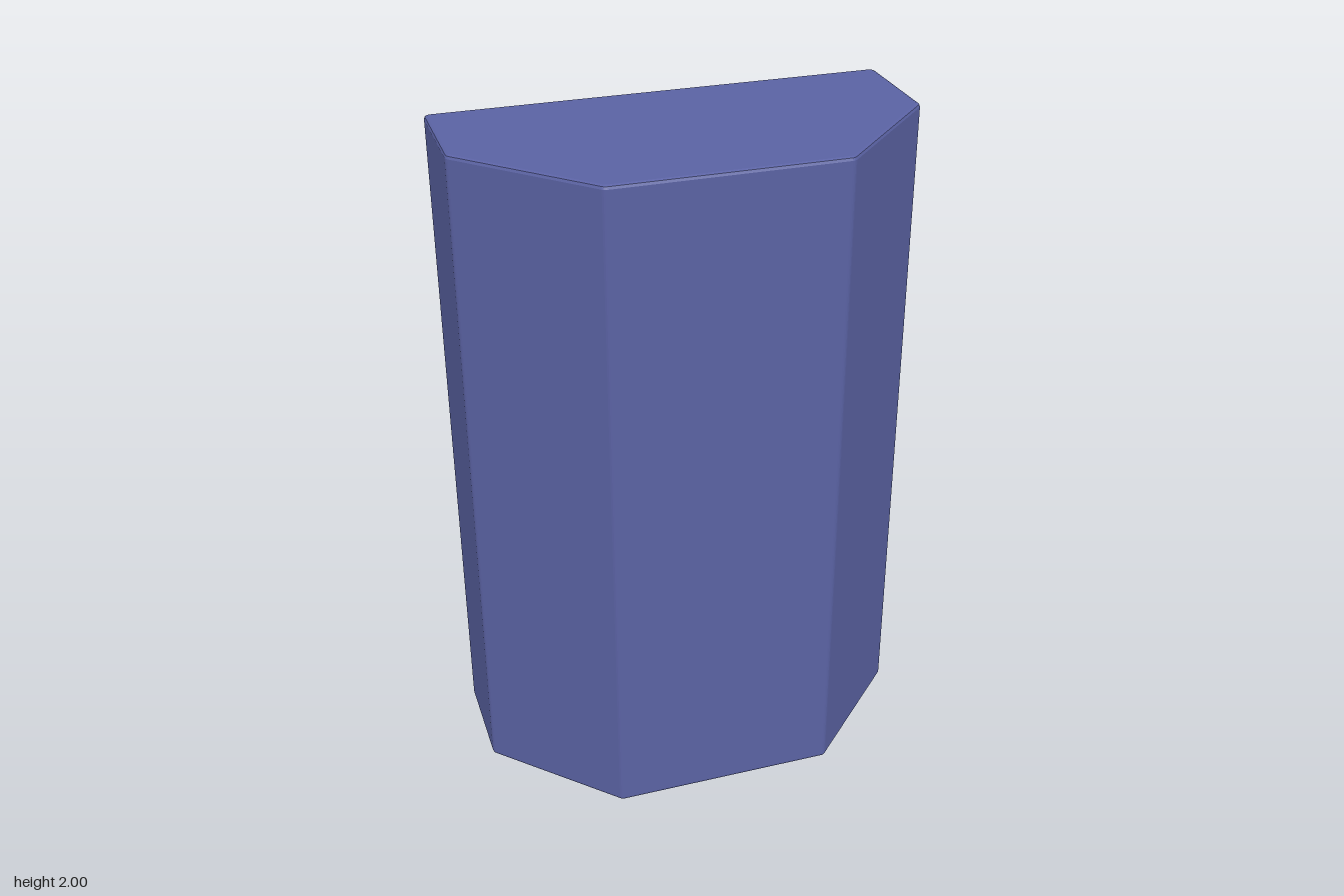
import * as THREE from 'three';

const HALF_W = 0.665, HALF_D = 0.333, HEIGHT = 2, BEVEL = 0.01, RADIUS = 0.02;

// Closed outline with each corner eased by the given radius
function roundedOutline(corners, radius) {
  const shape = new THREE.Shape();
  corners.forEach((p, i) => {
    const toPrev = corners.at(i - 1).clone().sub(p).normalize();
    const toNext = corners[(i + 1) % corners.length].clone().sub(p).normalize();
    const turn = Math.PI - Math.acos(toPrev.dot(toNext));
    const cut = radius * Math.tan(turn / 2);
    const a = p.clone().addScaledVector(toPrev, cut);
    const b = p.clone().addScaledVector(toNext, cut);
    if (i === 0) shape.moveTo(a.x, a.y);
    else shape.lineTo(a.x, a.y);
    shape.quadraticCurveTo(p.x, p.y, b.x, b.y);
  });
  shape.closePath();
  return shape;
}

export function createModel() {
  const group = new THREE.Group();
  group.name = 'chamferedPillar';

  // Plan of the block: straight back, two 45 degree corners at the front (shape y = -z)
  const plan = [
    [-HALF_W, HALF_D], [-HALF_W, 0], [-HALF_W / 2, -HALF_D],
    [HALF_W / 2, -HALF_D], [HALF_W, 0], [HALF_W, HALF_D],
  ].map(([x, y]) => new THREE.Vector2(x, y));

  // Upright body with a fine bevel around the top and bottom rims
  const geometry = new THREE.ExtrudeGeometry(roundedOutline(plan, RADIUS), {
    depth: HEIGHT - 2 * BEVEL,
    curveSegments: 3,
    bevelEnabled: true,
    bevelThickness: BEVEL,
    bevelSize: BEVEL,
    bevelOffset: -BEVEL,
    bevelSegments: 2,
  });
  geometry.rotateX(-Math.PI / 2);
  geometry.translate(0, BEVEL, 0);

  const body = new THREE.Mesh(geometry, new THREE.MeshStandardMaterial({ color: 0x5a62a3 }));
  body.name = 'body';
  group.add(body);
  return group;
}
